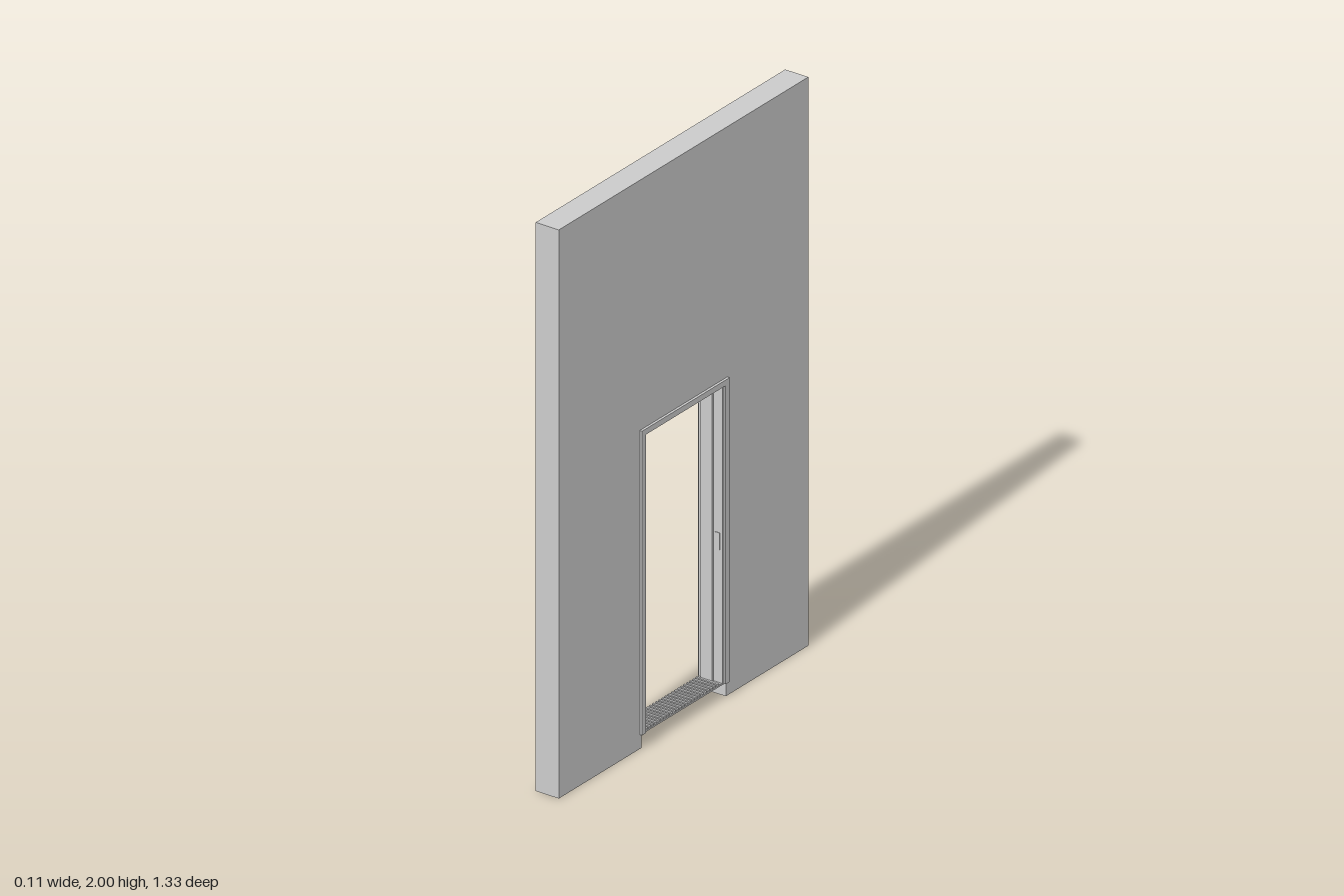
import * as THREE from 'three';

const material = new THREE.MeshStandardMaterial({ color: 0xcccccc, flatShading: true });

// Upside-down U in the z-y plane, spanning x0..x1
function portal(name, outerHalf, outerTop, innerHalf, innerTop, bottom, x0, x1) {
  const s = new THREE.Shape();
  [[-outerHalf, bottom], [-innerHalf, bottom], [-innerHalf, innerTop], [innerHalf, innerTop],
    [innerHalf, bottom], [outerHalf, bottom], [outerHalf, outerTop], [-outerHalf, outerTop]]
    .forEach(([z, y], i) => (i ? s.lineTo(z, y) : s.moveTo(z, y)));
  const g = new THREE.ExtrudeGeometry(s, { depth: x1 - x0, bevelEnabled: false });
  g.rotateY(Math.PI / 2);
  g.translate(x0, 0, 0);
  const m = new THREE.Mesh(g, material);
  m.name = name;
  return m;
}

function box(name, sx, sy, sz, x, y, z) {
  const m = new THREE.Mesh(new THREE.BoxGeometry(sx, sy, sz), material);
  m.name = name;
  m.position.set(x, y, z);
  return m;
}

export function createModel() {
  const model = new THREE.Group();
  model.name = 'wallWithDoorFrame';

  // Wall with the doorway cut through to the floor
  model.add(portal('wall', 0.665, 2, 0.225, 1.112, 0, -0.045, 0.045));

  // Door frame: lining, raised stop, and stepped trim on both faces
  const bottom = 0.05;
  const frame = new THREE.Group();
  frame.name = 'doorFrame';
  frame.add(portal('lining', 0.225, 1.112, 0.205, 1.095, bottom, -0.047, 0.047));
  frame.add(portal('doorStop', 0.206, 1.096, 0.197, 1.087, bottom, -0.033, 0.012));
  for (const side of [-1, 1]) {
    const [a, b] = [side * 0.045, side * 0.054];
    frame.add(portal(side > 0 ? 'leftTrim' : 'rightTrim', 0.233, 1.12, 0.212, 1.1, bottom, Math.min(a, b), Math.max(a, b)));
  }
  model.add(frame);

  // Threshold plate with fine ribs
  const threshold = new THREE.Group();
  threshold.name = 'threshold';
  threshold.add(box('thresholdPlate', 0.09, 0.006, 0.45, 0, 0.05, 0));
  const ribs = 24;
  for (let i = 0; i < ribs; i++) {
    threshold.add(box('thresholdRib', 0.088, 0.004, 0.008, 0, 0.055, -0.19 + (0.38 * i) / (ribs - 1)));
  }
  model.add(threshold);

  // Hinges on one jamb, strike plate on the other
  for (const y of [0.22, 0.88]) {
    const hinge = new THREE.Group();
    hinge.name = 'hinge';
    hinge.position.set(0.028, y, 0.203);
    hinge.add(box('hingeLeaf', 0.022, 0.032, 0.004, 0, 0, 0.001));
    const pin = new THREE.Mesh(new THREE.CylinderGeometry(0.004, 0.004, 0.032, 12), material);
    pin.name = 'hingePin';
    pin.position.set(-0.006, 0, -0.003);
    hinge.add(pin);
    model.add(hinge);
  }
  model.add(box('strikePlate', 0.018, 0.06, 0.003, 0.028, 0.55, -0.2045));

  return model;
}
